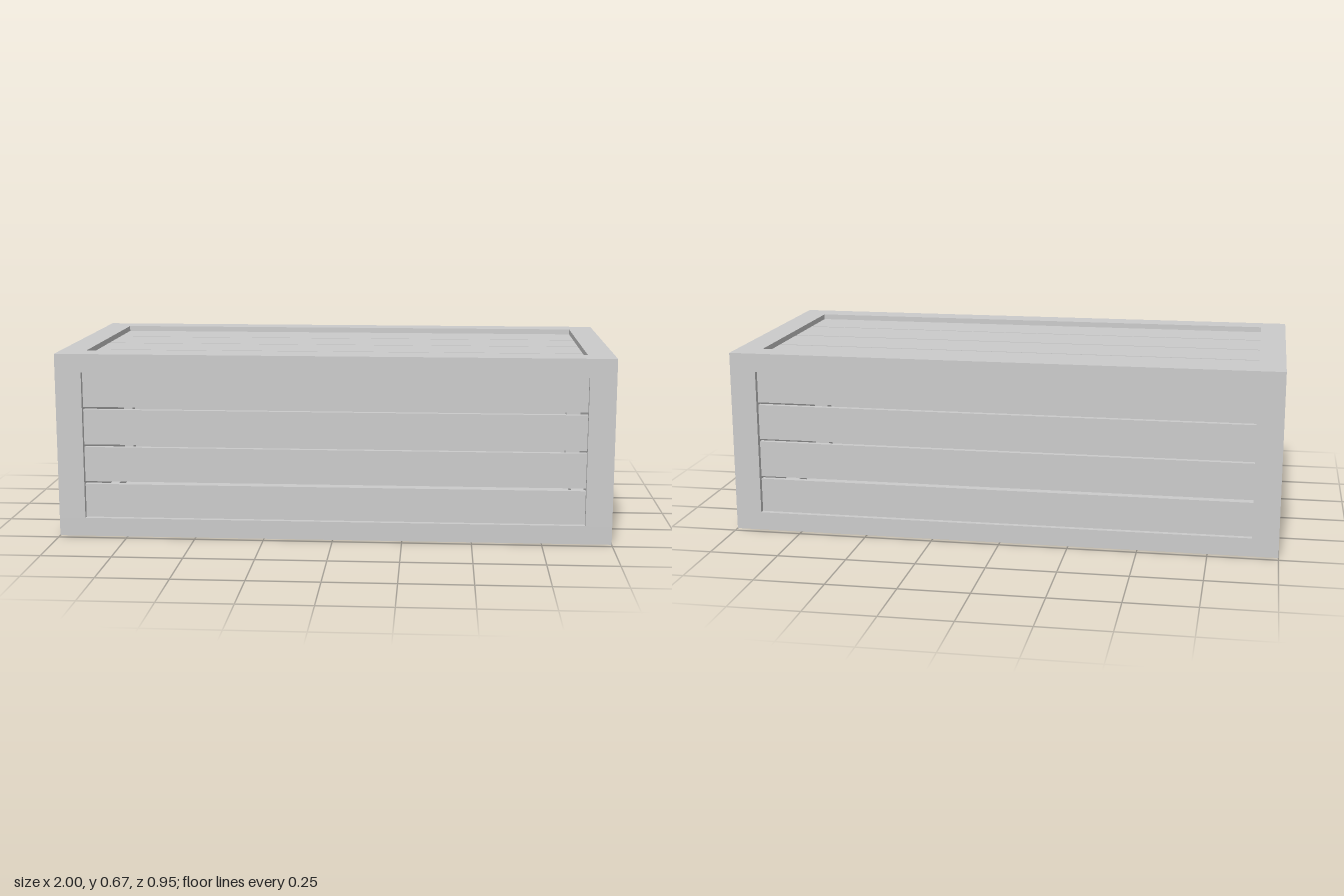
import * as THREE from 'three';

const W = 2, H = 0.67, D = 0.95;      // overall size
const BX = 0.095, BY = 0.067, BZ = 0.095; // frame beam widths
const RECESS = 0.02, THICK = 0.02, GAP = 0.01, TUCK = 0.015;

export function createModel() {
  const crate = new THREE.Group();
  crate.name = 'crate';
  const material = new THREE.MeshStandardMaterial({ color: 0xcccccc, flatShading: true });

  // Box given by its lower and upper limits on each axis
  const addBox = (parent, name, x0, x1, y0, y1, z0, z1) => {
    const mesh = new THREE.Mesh(new THREE.BoxGeometry(x1 - x0, y1 - y0, z1 - z0), material);
    mesh.position.set((x0 + x1) / 2, (y0 + y1) / 2, (z0 + z1) / 2);
    mesh.name = name;
    parent.add(mesh);
  };
  const addGroup = (name) => {
    const group = new THREE.Group();
    group.name = name;
    crate.add(group);
    return group;
  };

  // Frame: twelve beams along the edges of the crate
  const frame = addGroup('frame');
  const ends = (half, beam) => [[-half, -half + beam], [half - beam, half]];
  const xs = ends(W / 2, BX), zs = ends(D / 2, BZ);
  const ys = [[0, BY], [H - BY, H]];
  const ix = W / 2 - BX, iz = D / 2 - BZ;
  for (const y of ys) {
    for (const z of zs) addBox(frame, 'longRail', -W / 2, W / 2, ...y, ...z);
    for (const x of xs) addBox(frame, 'crossRail', ...x, ...y, -iz, iz);
  }
  for (const x of xs) for (const z of zs) addBox(frame, 'cornerPost', ...x, BY, H - BY, ...z);

  // Splits a span into planks at the given gap centres
  const planks = (start, end, gaps) => {
    const edges = [start - TUCK, ...gaps.flatMap((g) => [g - GAP / 2, g + GAP / 2]), end + TUCK];
    return [0, 2, 4, 6].map((i) => [edges[i], edges[i + 1]]);
  };
  const px = ix + TUCK;

  // Side planks, recessed behind the frame
  const sides = [['frontPlanks', 1, [0.195, 0.332, 0.47]], ['backPlanks', -1, [0.197, 0.34, 0.479]]];
  for (const [name, sign, gaps] of sides) {
    const group = addGroup(name);
    const z = sign * (D / 2 - RECESS - THICK / 2);
    for (const y of planks(BY, H - BY, gaps))
      addBox(group, 'plank', -px, px, ...y, z - THICK / 2, z + THICK / 2);
  }

  // Lid and floor planks
  const decks = [['topPlanks', H - RECESS - THICK, [-0.19, 0.007, 0.202]], ['bottomPlanks', RECESS, [-0.2, 0.005, 0.193]]];
  for (const [name, y, gaps] of decks) {
    const group = addGroup(name);
    for (const z of planks(-iz, iz, gaps)) addBox(group, 'plank', -px, px, y, y + THICK, ...z);
  }

  // Solid end panels, the right one set deeper
  const panel = (name, x0, x1) =>
    addBox(crate, name, x0, x1, BY - TUCK, H - BY + TUCK, -iz - TUCK, iz + TUCK);
  panel('leftEndPanel', 0.962, 0.982);
  panel('rightEndPanel', -0.96, -0.94);

  return crate;
}
